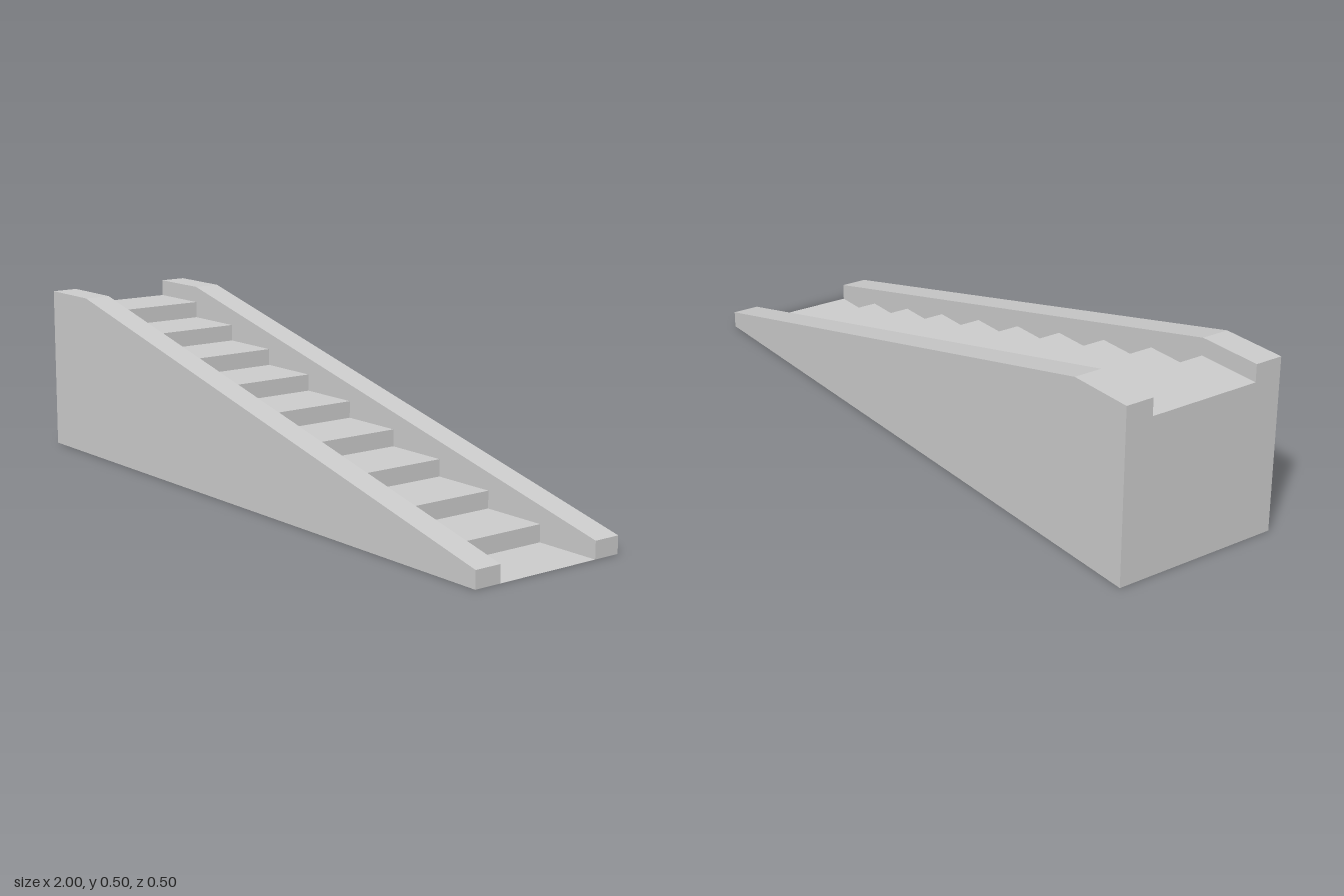
import * as THREE from 'three';

const material = new THREE.MeshStandardMaterial({ color: 0xcccccc, flatShading: true });
const sheet = new THREE.MeshStandardMaterial({ color: 0xcccccc, flatShading: true, side: THREE.DoubleSide });

const STEPS = 10, RUN = 0.2, RISE = 0.05;
const HALF = 0.25, INNER = 0.167;

export function createModel() {
  const model = new THREE.Group();
  model.name = 'staircase';

  // Solid sloping side walls with a level section at the top landing
  const profile = new THREE.Shape([
    [-1, 0], [1, 0], [1, 0.05], [-0.8, 0.5], [-1, 0.5],
  ].map(([x, y]) => new THREE.Vector2(x, y)));
  const wallGeometry = new THREE.ExtrudeGeometry(profile, { depth: HALF - INNER, bevelEnabled: false });
  for (const [name, z] of [['frontWall', INNER], ['backWall', -HALF]]) {
    const wall = new THREE.Mesh(wallGeometry, material);
    wall.name = name;
    wall.position.z = z;
    model.add(wall);
  }

  // Thin upright panel across the stairs, standing on the ground and facing side (+1 or -1)
  const addPanel = (name, x, height, side) => {
    const panel = new THREE.Mesh(new THREE.PlaneGeometry(2 * INNER, height), sheet);
    panel.name = name;
    panel.rotation.y = side * Math.PI / 2;
    panel.position.set(x, height / 2, 0);
    model.add(panel);
  };

  // Treads and full-height risers; the underside stays open and the lowest tread lies on the ground
  const treadGeometry = new THREE.PlaneGeometry(RUN, 2 * INNER).rotateX(-Math.PI / 2);
  for (let i = 0; i < STEPS; i++) {
    const height = (STEPS - 1 - i) * RISE;
    const tread = new THREE.Mesh(treadGeometry, sheet);
    tread.name = `tread${i + 1}`;
    tread.position.set(-1 + (i + 0.5) * RUN, height, 0);
    model.add(tread);
    if (height > 0) addPanel(`riser${i + 1}`, -1 + (i + 1) * RUN, height, 1);
  }

  // Panel closing the tall end
  addPanel('endPanel', -1, (STEPS - 1) * RISE, -1);

  return model;
}
